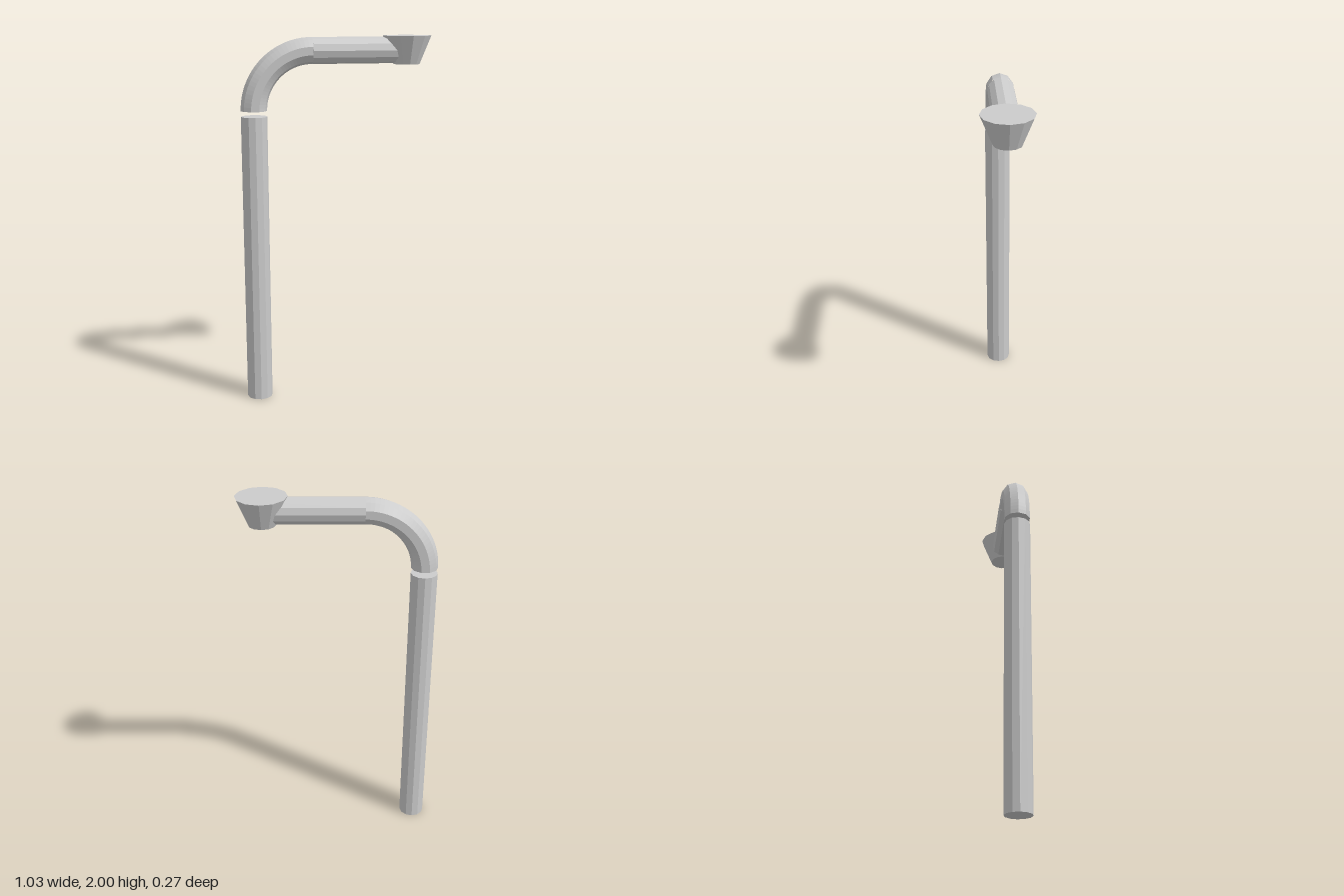
import * as THREE from 'three';

export function createModel() {
  const group = new THREE.Group();
  const material = new THREE.MeshStandardMaterial({ color: 0xcccccc, flatShading: true });
  const pipeR = 0.07, bendR = 0.31;
  const postX = -0.445, bendX = postX + bendR, bendY = 1.615, headX = 0.382;

  const add = (name, geometry, x, y) => {
    const mesh = new THREE.Mesh(geometry, material);
    mesh.name = name;
    mesh.position.set(x, y, 0);
    group.add(mesh);
    return mesh;
  };

  // Upright post, stopping just short of the bend
  const postH = 1.585;
  add('post', new THREE.CylinderGeometry(pipeR, pipeR, postH, 12), postX, postH / 2);

  // Quarter bend from vertical to horizontal
  const bend = add('elbow', new THREE.TorusGeometry(bendR, pipeR, 10, 24, Math.PI / 2), bendX, bendY);
  bend.rotation.z = Math.PI / 2;

  // Disc closing the lower end of the bend
  const cap = add('elbowEnd', new THREE.CircleGeometry(pipeR, 10), postX, bendY);
  cap.rotation.x = Math.PI / 2;

  // Horizontal arm, ending inside the head
  const armL = headX - bendX;
  const arm = add('arm', new THREE.CylinderGeometry(pipeR, pipeR, armL, 12), bendX + armL / 2, bendY + bendR);
  arm.rotation.z = Math.PI / 2;

  // Flared head, wide at the top
  add('flaredHead', new THREE.CylinderGeometry(0.133, 0.072, 0.15, 12), headX, 1.925);

  return group;
}
